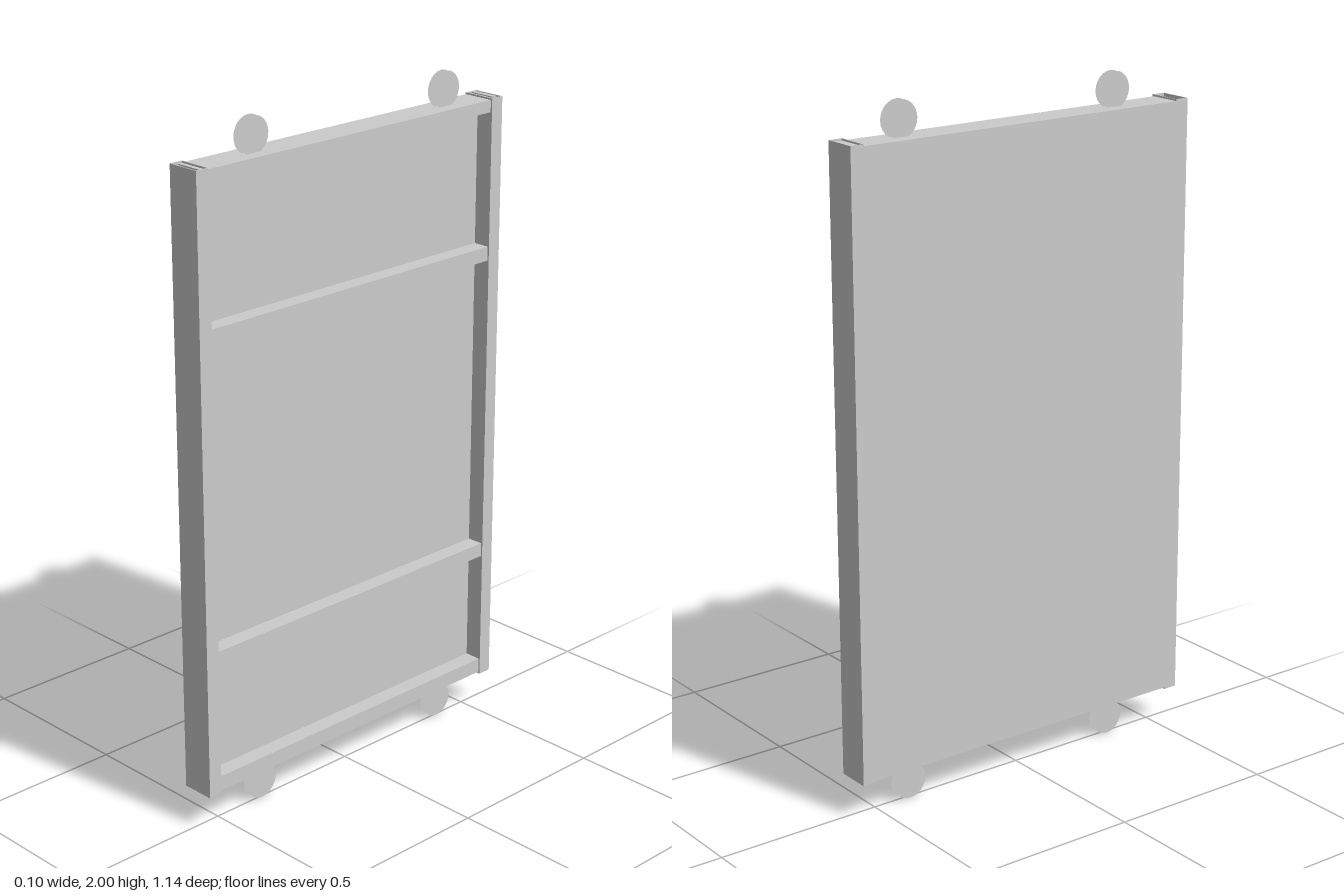
import * as THREE from 'three';

const mat = new THREE.MeshStandardMaterial({ color: 0xcccccc, flatShading: true, side: THREE.DoubleSide });

// Box given by its limits on each axis
function block(parent, name, [x0, x1], [y0, y1], [z0, z1]) {
  const mesh = new THREE.Mesh(new THREE.BoxGeometry(x1 - x0, y1 - y0, z1 - z0), mat);
  mesh.position.set((x0 + x1) / 2, (y0 + y1) / 2, (z0 + z1) / 2);
  mesh.name = name;
  parent.add(mesh);
  return mesh;
}

const BACK = -0.052, FRONT = 0.05, RAIL = 0.045, SHEET = -0.005;
const BOTTOM = 0.105, TOP = 1.905, T = 0.003;

// Hollow upright, open at both ends
function createPost(side) {
  const post = new THREE.Group();
  post.name = side > 0 ? 'frontPost' : 'backPost';
  const span = (a, b) => (side > 0 ? [a, b] : [-b, -a]);
  const height = [BOTTOM, TOP];
  block(post, 'postWeb', [BACK, FRONT], height, span(0.57 - T, 0.57));
  block(post, 'postInnerWall', [BACK, FRONT - T], height, span(0.528, 0.528 + T));
  block(post, 'postFrontFlange', [FRONT - T, FRONT], height, span(0.528, 0.57 - T));
  block(post, 'postBackFlange', [BACK, BACK + T], height, span(0.528 + T, 0.57 - T));
  return post;
}

// Pair of flat round faces
function createRoller(y, z) {
  const roller = new THREE.Group();
  roller.name = 'roller';
  for (const side of [-1, 1]) {
    const disc = new THREE.Mesh(new THREE.CircleGeometry(0.053, 24), mat);
    disc.name = 'rollerFace';
    disc.rotation.y = side * Math.PI / 2;
    disc.position.x = side * 0.009;
    roller.add(disc);
  }
  roller.position.set(-0.003, y, z);
  return roller;
}

export function createModel() {
  const model = new THREE.Group();
  model.name = 'slidingPanel';
  const inner = [-0.528, 0.528];

  // Uprights, with a small cap on the rear one
  model.add(createPost(1), createPost(-1));
  block(model, 'postCap', [BACK, 0.03], [TOP - 0.006, TOP - 0.002], [-0.567, -0.55]);

  // Infill sheet
  block(model, 'infillPanel', [BACK, SHEET], [0.155, 1.865], inner);

  // Top rail and its cover strip
  block(model, 'topRail', [BACK, RAIL], [1.865, 1.9], inner);
  block(model, 'topCover', [BACK, RAIL], [1.897, 1.9], [-0.55, 0.545]);

  // Cross rails
  for (const y of [0.52, 1.45]) {
    block(model, 'crossRail', [SHEET, RAIL], [y - 0.021, y + 0.021], inner);
  }

  // Bottom channel, open below
  block(model, 'bottomWeb', [BACK, RAIL], [0.152, 0.155], inner);
  block(model, 'bottomFrontFlange', [RAIL - T, RAIL], [0.11, 0.152], inner);
  block(model, 'bottomBackFlange', [BACK, BACK + T], [0.11, 0.152], inner);

  // Rollers above and below
  for (const y of [0.053, 1.947]) {
    for (const z of [0.335, -0.385]) model.add(createRoller(y, z));
  }
  return model;
}
